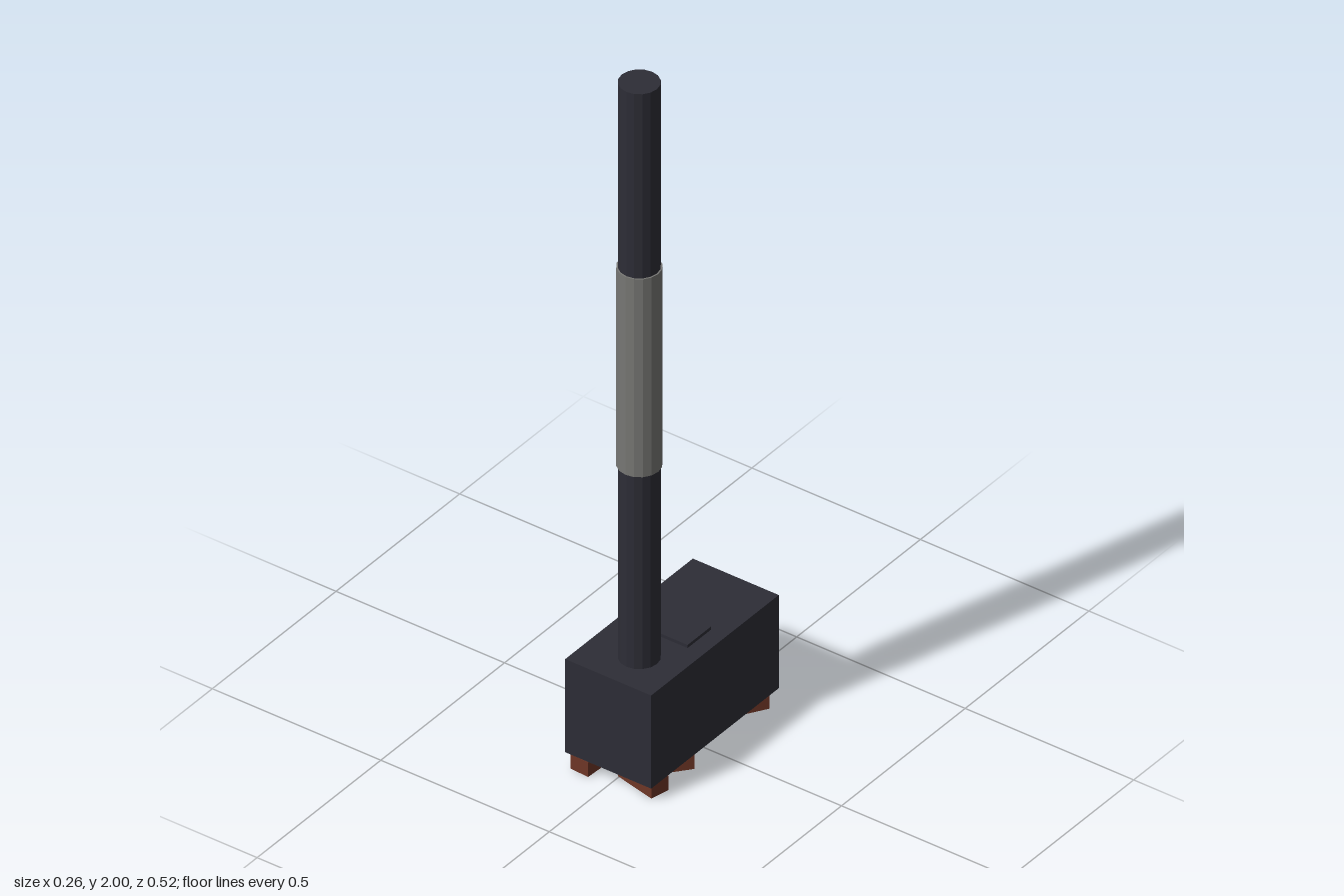
import * as THREE from 'three';

export function createModel() {
  const model = new THREE.Group();
  const iron = new THREE.MeshStandardMaterial({ name: 'dark iron', color: 0x2d2d36, flatShading: true });
  const steel = new THREE.MeshStandardMaterial({ name: 'grey steel', color: 0x777774, flatShading: true });
  const brick = new THREE.MeshStandardMaterial({ name: 'red brick', color: 0x6e3626, flatShading: true });

  function add(name, geometry, material, x, y, z) {
    const mesh = new THREE.Mesh(geometry, material);
    mesh.name = name;
    mesh.position.set(x, y, z);
    model.add(mesh);
    return mesh;
  }
  // Box given by its limits on each axis
  function block(name, material, [x0, x1], [y0, y1], [z0, z1]) {
    return add(name, new THREE.BoxGeometry(x1 - x0, y1 - y0, z1 - z0), material,
      (x0 + x1) / 2, (y0 + y1) / 2, (z0 + z1) / 2);
  }

  // Stove body: a rectangular tube with the firebox mouth at the back
  const outline = new THREE.Shape();
  outline.moveTo(-0.129, 0.042).lineTo(0.126, 0.042).lineTo(0.126, 0.315).lineTo(-0.129, 0.315).closePath();
  const mouth = new THREE.Path();
  mouth.moveTo(-0.088, 0.08).lineTo(-0.088, 0.21).lineTo(0.08, 0.21).lineTo(0.08, 0.08).closePath();
  outline.holes.push(mouth);
  add('stoveBody', new THREE.ExtrudeGeometry(outline, { depth: 0.476, bevelEnabled: false }), iron, 0, 0, -0.256);
  block('frontWall', iron, [-0.129, 0.126], [0.042, 0.315], [0.22, 0.26]);

  // Cooking plate on top
  block('cookingPlate', iron, [-0.085, 0.08], [0.31, 0.324], [-0.044, 0.05]);

  // Door hinges beside the mouth
  for (const y of [0.1, 0.18]) {
    add('hinge', new THREE.CylinderGeometry(0.005, 0.005, 0.026, 8), iron, 0.084, y, -0.257);
  }

  // Chimney with its heat sleeve
  add('chimney', new THREE.CylinderGeometry(0.052, 0.052, 1.69, 16), iron, 0.008, 1.155, 0.147);
  add('chimneySleeve', new THREE.CylinderGeometry(0.056, 0.056, 0.58, 16), steel, 0.008, 1.17, 0.147);

  // Loose bricks under the body: x, z, turn in degrees
  const bricks = [
    [0.062, 0.205, -13],
    [-0.083, 0.2, 87],
    [0.062, 0.067, -39],
    [0.068, -0.185, 58],
    [-0.077, -0.196, -83],
  ];
  for (const [x, z, turn] of bricks) {
    const mesh = add('supportBrick', new THREE.BoxGeometry(0.122, 0.042, 0.054), brick, x, 0.021, z);
    mesh.rotation.y = THREE.MathUtils.degToRad(turn);
  }
  return model;
}
